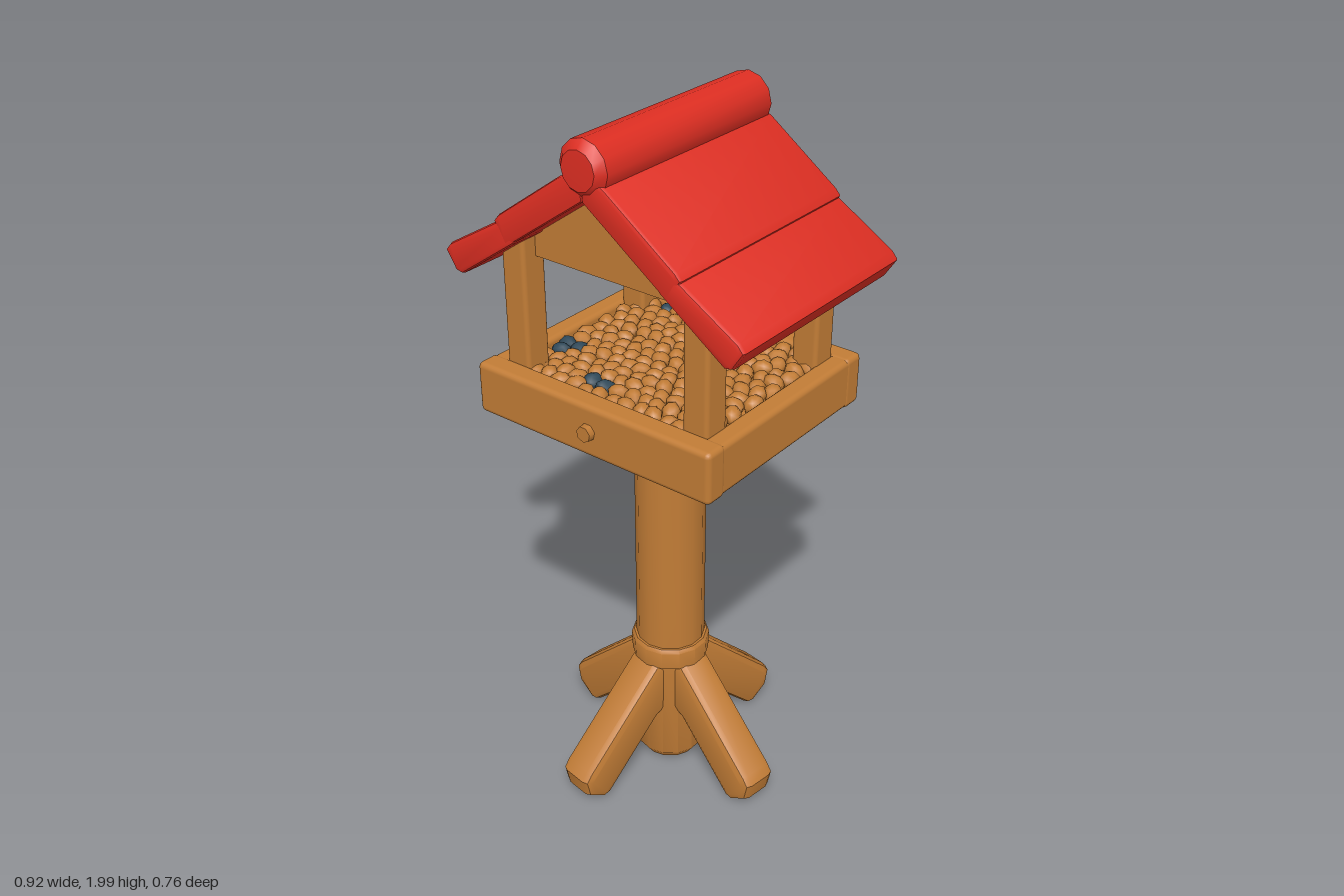
import * as THREE from 'three';
import { RoundedBoxGeometry } from 'three/addons/geometries/RoundedBoxGeometry.js';
import { toCreasedNormals } from 'three/addons/utils/BufferGeometryUtils.js';

const material = (name, color) => new THREE.MeshStandardMaterial({ name, color });

export function createModel() {
  const wood = material('wood', 0xc17c36);
  const red = material('red roof', 0xdd2e22);
  const dark = material('dark seed', 0x2f4858);
  const model = new THREE.Group();
  model.name = 'birdFeeder';

  const add = (name, geometry, mat, x = 0, y = 0, z = 0, parent = model) => {
    const mesh = new THREE.Mesh(geometry, mat);
    mesh.name = name;
    mesh.position.set(x, y, z);
    parent.add(mesh);
    return mesh;
  };
  const box = (w, h, d, r = 0.012) => new RoundedBoxGeometry(w, h, d, 2, r);

  // Profile in x-y, extruded along z about z = 0, with softened edges
  const slab = (points, depth, bevel) => {
    const shape = new THREE.Shape(points.map(([x, y]) => new THREE.Vector2(x, y)));
    const g = new THREE.ExtrudeGeometry(shape, {
      depth: depth - 2 * bevel, bevelEnabled: bevel > 0, bevelSize: bevel,
      bevelThickness: bevel, bevelOffset: -bevel, bevelSegments: 2,
    });
    g.translate(0, 0, -depth / 2 + bevel);
    return toCreasedNormals(g, 0.7);
  };
  const lathe = (points, sides) => toCreasedNormals(
    new THREE.LatheGeometry(points.map(([r, y]) => new THREE.Vector2(r, y)), sides), 0.65);

  // Central post and its two collars
  add('post', lathe([[0, 0.01], [0.08, 0.012], [0.1, 0.04], [0.098, 0.4], [0.098, 1.19]], 14), wood);
  add('lowerCollar', lathe([[0.095, 0.36], [0.11, 0.37], [0.112, 0.425], [0.105, 0.435], [0, 0.435]], 14), wood);
  add('upperCollar', lathe([[0.09, 1.09], [0.107, 1.095], [0.115, 1.12], [0.115, 1.2]], 14), wood);

  // Four slanting legs, turned slightly about the post
  const legProfile = [[0, 0.38], [0.1, 0.375], [0.36, 0.125], [0.378, 0.1], [0.366, 0.045],
    [0.31, 0.008], [0.285, 0.012], [0.1, 0.19], [0, 0.23]];
  const legGeometry = slab(legProfile, 0.112, 0.022);
  for (let i = 0; i < 4; i++) {
    add('leg', legGeometry, wood).rotation.y = -0.15 + i * Math.PI / 2;
  }

  // Tray floor, rim boards and pegs
  add('trayFloor', box(0.72, 0.1, 0.63), wood, 0, 1.235, 0);
  for (const s of [-1, 1]) {
    add('trayLongBoard', box(0.75, 0.145, 0.068, 0.015), wood, 0, 1.25, s * 0.296);
    add('traySideBoard', box(0.06, 0.14, 0.6, 0.015), wood, s * 0.343, 1.25, 0);
    const peg = add('peg', new THREE.CylinderGeometry(0.022, 0.025, 0.04, 7), wood, 0, 1.25, s * 0.328);
    peg.rotation.x = s * Math.PI / 2;
  }

  // Corner uprights under the roof
  for (const x of [-0.285, 0.285]) {
    for (const z of [-0.23, 0.23]) {
      add('upright', box(0.076, 0.4, 0.08), wood, x, 1.48, z);
    }
  }

  // Solid gable block between the roof slopes
  add('gable', slab([[-0.29, 1.617], [0.29, 1.617], [0.29, 1.665], [0, 1.875], [-0.29, 1.665]], 0.45, 0), wood);

  // Overlapping roof boards on both slopes, and the round ridge
  const upper = [[0, 1.93], [0.07, 1.895], [0.27, 1.752], [0.285, 1.735], [0.25, 1.672], [0, 1.85]];
  const lower = [[0.235, 1.752], [0.285, 1.728], [0.445, 1.632], [0.462, 1.612], [0.43, 1.562],
    [0.408, 1.558], [0.22, 1.69]];
  for (const s of [-1, 1]) {
    const mirror = (points) => points.map(([x, y]) => [s * x, y]);
    add('upperRoofBoard', slab(mirror(upper), 0.656, 0.01), red);
    add('lowerRoofBoard', slab(mirror(lower), 0.656, 0.012), red);
  }
  const ridge = add('ridge', lathe([[0, -0.338], [0.05, -0.336], [0.072, -0.315],
    [0.072, 0.315], [0.05, 0.336], [0, 0.338]], 12), red, 0, 1.928, 0);
  ridge.rotation.x = Math.PI / 2;

  // Bed of seeds in staggered rows, with a few dark clusters
  const seeds = new THREE.Group();
  seeds.name = 'seeds';
  model.add(seeds);
  let state = 7;
  const random = () => (state = (state * 16807) % 2147483647) / 2147483647;
  const clusters = [[-0.07, 0.2], [-0.27, 0.09], [-0.21, -0.24], [0.23, 0.16]];
  const seedGeometry = new THREE.SphereGeometry(1, 7, 5);
  for (let row = 0; row < 13; row++) {
    for (let col = 0; col < 14; col++) {
      const x = -0.29 + col * 0.043 + (row % 2) * 0.021 + (random() - 0.5) * 0.012;
      const z = -0.24 + row * 0.04 + (random() - 0.5) * 0.012;
      const isDark = clusters.some(([cx, cz]) => Math.hypot(x - cx, z - cz) < 0.036);
      const seed = add(isDark ? 'darkSeed' : 'seed', seedGeometry, isDark ? dark : wood,
        x, 1.298 + random() * 0.008, z, seeds);
      seed.scale.set(0.03, 0.022, 0.024);
      seed.rotation.set((random() - 0.5) * 0.6, random() * Math.PI, (random() - 0.5) * 0.6);
    }
  }
  return model;
}
